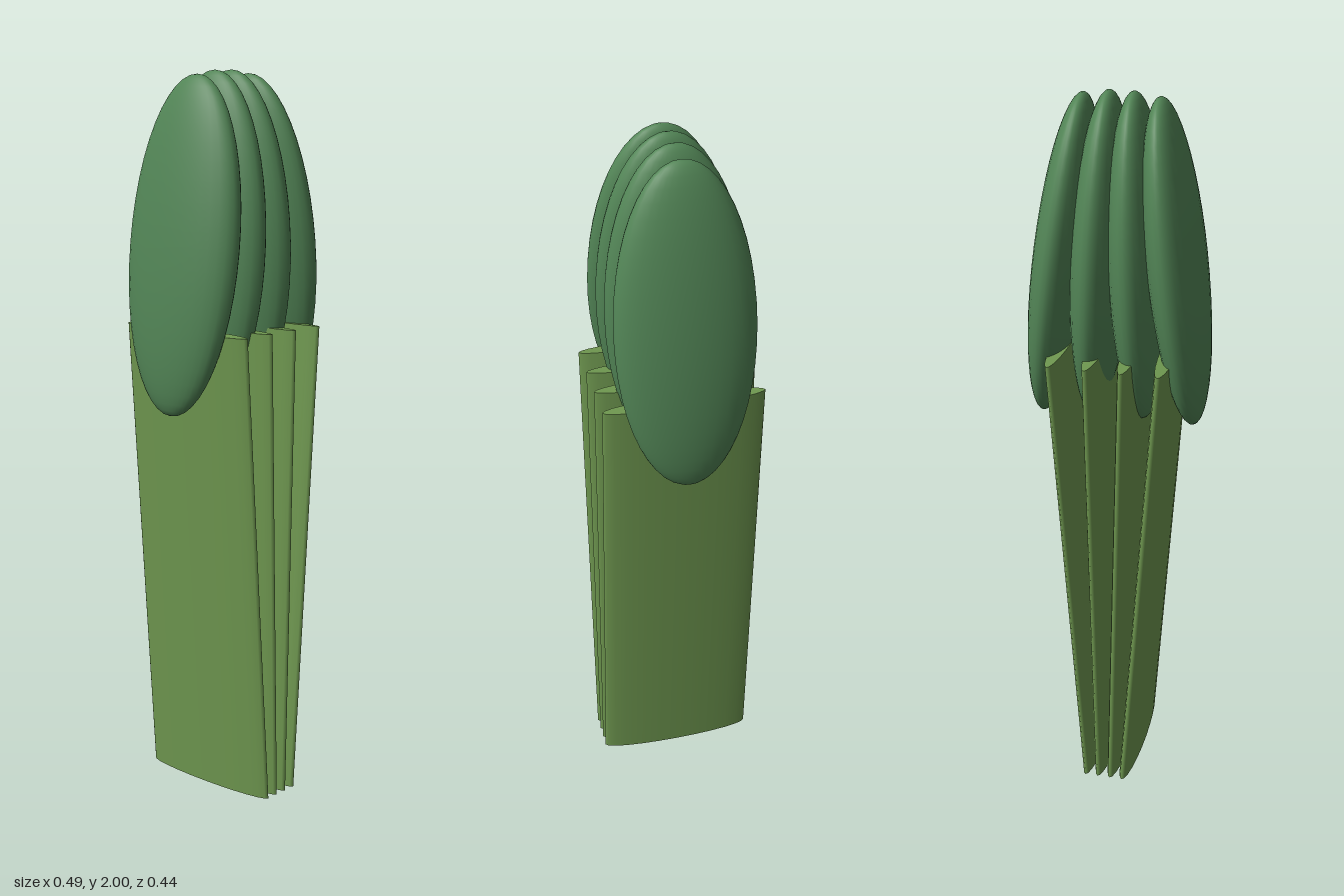
import * as THREE from 'three';

export function createModel() {
  const model = new THREE.Group();
  model.name = 'stalkBundle';
  const stemGreen = new THREE.MeshStandardMaterial({ color: 0x6f9850 });
  stemGreen.name = 'stem green';
  const tipGreen = new THREE.MeshStandardMaterial({ color: 0x528556 });
  tipGreen.name = 'tip green';

  const stemShape = new THREE.CylinderGeometry(1, 1, 1, 24);
  const tipShape = new THREE.SphereGeometry(1, 32, 24);

  // Flat oval stem running between two points in the xy plane
  function addStem(name, x0, x1) {
    const y0 = 0.005, y1 = 1.316;
    const stem = new THREE.Mesh(stemShape, stemGreen);
    stem.name = name;
    stem.scale.set(0.026, Math.hypot(x1 - x0, y1 - y0), 0.22);
    stem.position.set((x0 + x1) / 2, (y0 + y1) / 2, 0);
    stem.rotation.z = -Math.atan2(x1 - x0, y1 - y0);
    model.add(stem);
  }

  // Flattened egg-shaped tip leaning inward
  function addTip(name, x, y, tilt) {
    const tip = new THREE.Mesh(tipShape, tipGreen);
    tip.name = name;
    tip.scale.set(0.072, 0.453, 0.188);
    tip.position.set(x, y, 0);
    tip.rotation.z = tilt;
    model.add(tip);
  }

  // Mirrored inner and outer stalks
  for (const [side, s] of [['left', 1], ['right', -1]]) {
    addStem(side + 'InnerStem', s * 0.018, s * 0.048);
    addStem(side + 'OuterStem', s * 0.054, s * 0.147);
    addTip(side + 'InnerTip', s * 0.051, 1.547, s * 0.042);
    addTip(side + 'OuterTip', s * 0.155, 1.54, s * 0.122);
  }
  return model;
}
